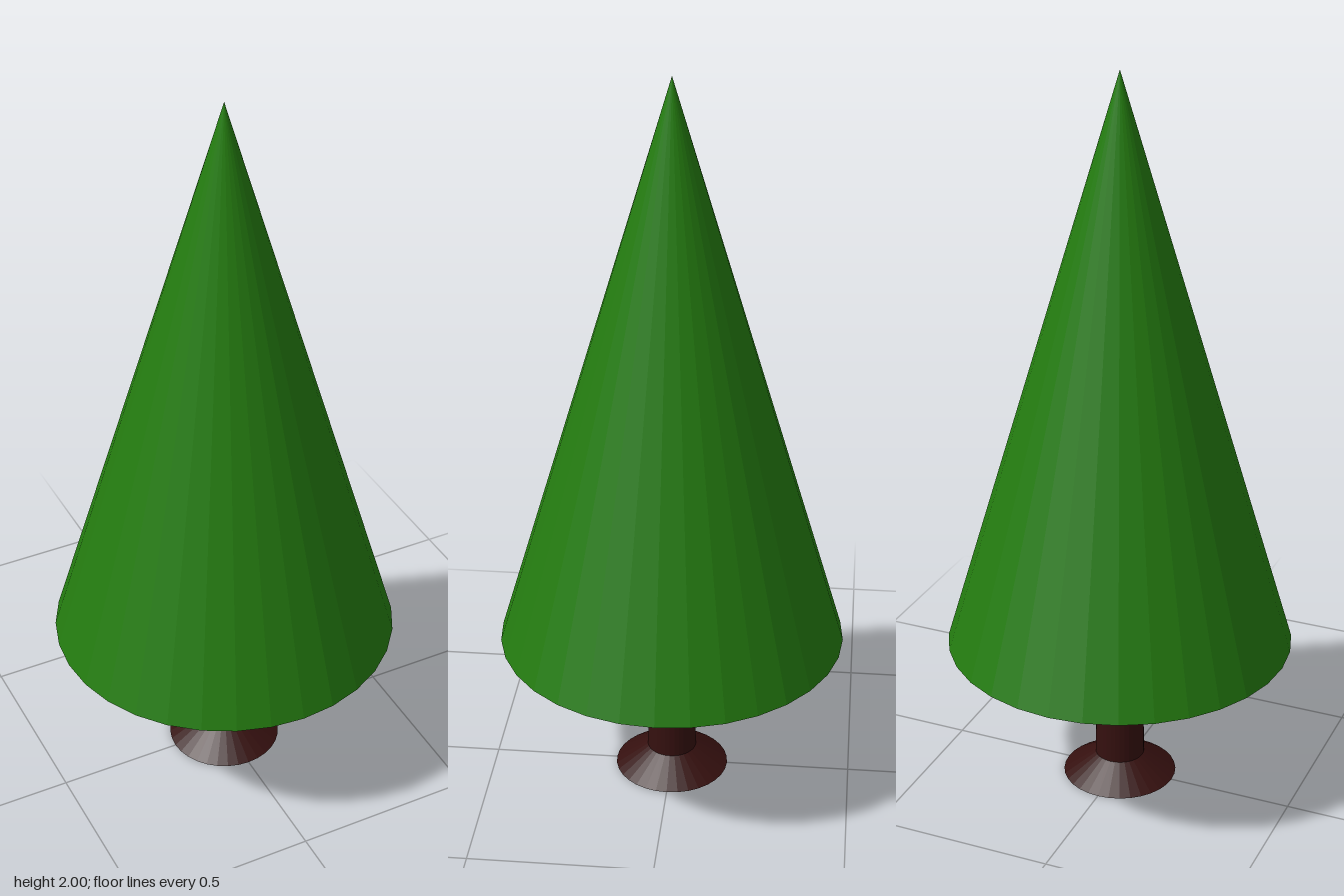
import * as THREE from 'three';

const SIDES = 32;

// Faceted solid of revolution from [radius, height] points, listed bottom to top on the outside
function turned(name, points, color) {
  const profile = points.map(([r, y]) => new THREE.Vector2(r, y));
  const material = new THREE.MeshStandardMaterial({ color, flatShading: true });
  const mesh = new THREE.Mesh(new THREE.LatheGeometry(profile, SIDES), material);
  mesh.name = name;
  return mesh;
}

export function createModel() {
  const tree = new THREE.Group();
  tree.name = 'coniferTree';

  // Hollow cone: inner cavity, sloping rim, outer surface
  tree.add(turned('foliage', [[0, 1.65], [0.36, 0.45], [0.47, 0.43], [0, 2]], 0x247c10));

  // Tapering trunk with a flared foot, running up into the cavity
  tree.add(turned('trunk', [
    [0, 0], [0.157, 0], [0.068, 0.06], [0.064, 0.34], [0.06, 0.43], [0.045, 1.49], [0, 1.5],
  ], 0x35100f));

  return tree;
}
